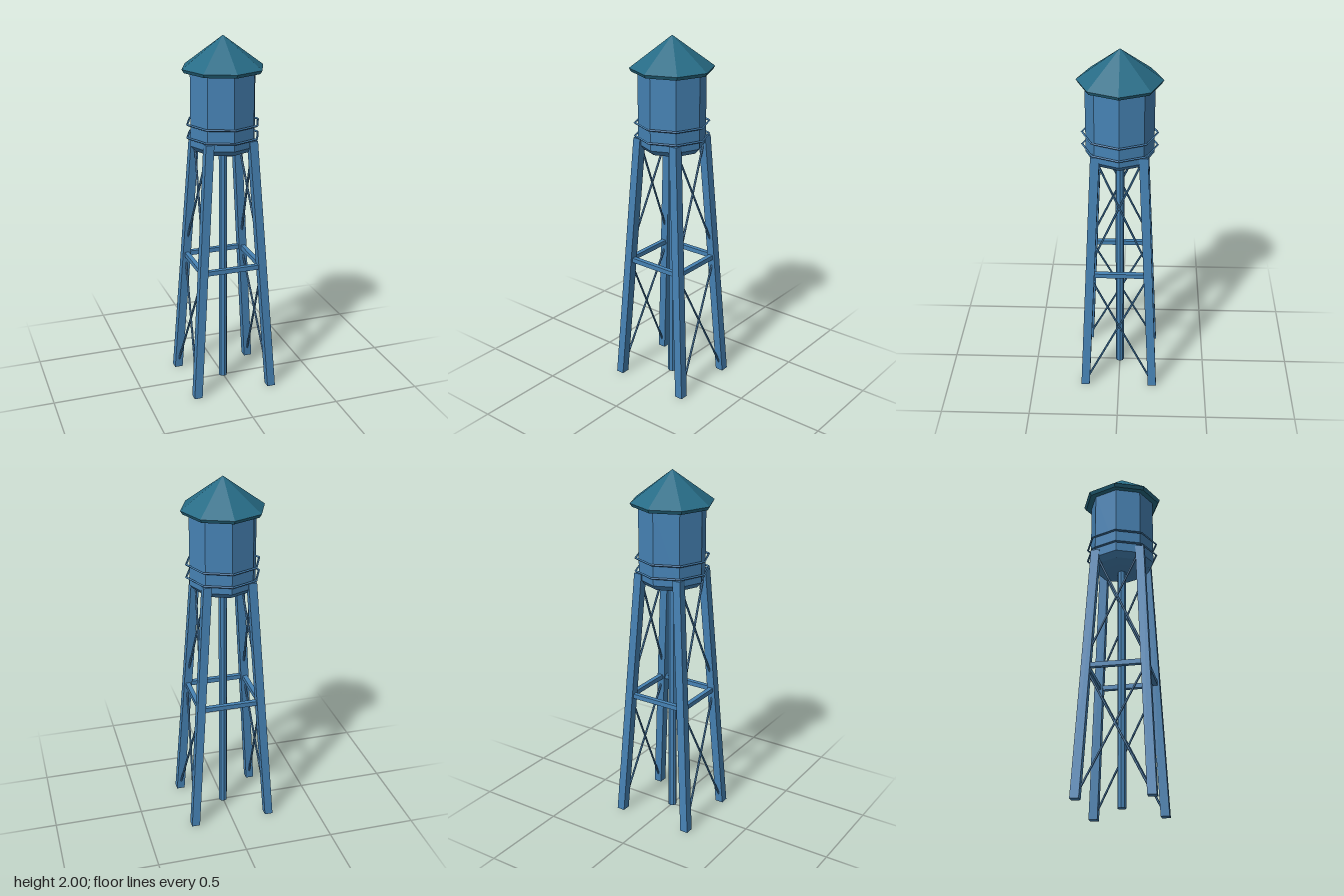
import * as THREE from 'three';

const SIDES = 8;
const LEG_TOP = 1.453;

// Centre line of the +x +z leg at height y, mirrored by sx and sz
function legPoint(y, sx, sz) {
  const t = y / LEG_TOP;
  return new THREE.Vector3(sx * (0.22 - 0.098 * t), y, sz * (0.195 - 0.068 * t));
}

export function createModel() {
  const model = new THREE.Group();
  model.name = 'waterTower';

  const steel = new THREE.MeshStandardMaterial({ color: 0x4682b4, flatShading: true });
  steel.name = 'steel blue';
  const teal = new THREE.MeshStandardMaterial({ color: 0x276c86, flatShading: true });
  teal.name = 'roof teal';

  function add(name, geometry, material) {
    const mesh = new THREE.Mesh(geometry, material);
    mesh.name = name;
    model.add(mesh);
    return mesh;
  }

  // Eight-sided solid of revolution with a corner facing the front
  function lathe(name, profile, material) {
    const points = profile.map(([r, y]) => new THREE.Vector2(r, y));
    return add(name, new THREE.LatheGeometry(points, SIDES), material);
  }

  // Thin round rod between two points
  function rod(name, a, b, radius) {
    const mesh = add(name, new THREE.CylinderGeometry(radius, radius, a.distanceTo(b), 6), steel);
    mesh.position.copy(a).add(b).multiplyScalar(0.5);
    mesh.quaternion.setFromUnitVectors(new THREE.Vector3(0, 1, 0), b.clone().sub(a).normalize());
  }

  // Tank with shallow rounded bottom
  lathe('tank', [[0, 1.367], [0.1, 1.37], [0.155, 1.386], [0.183, 1.416], [0.183, 1.825]], steel);

  // Pointed roof with a narrow eave
  lathe('roof', [[0, 1.813], [0.216, 1.813], [0.227, 1.832], [0, 2]], teal);

  // Rings around the tank
  for (const y of [1.463, 1.535]) {
    const ring = add('tankRing', new THREE.TorusGeometry(0.201, 0.006, 4, SIDES), steel);
    ring.rotation.x = Math.PI / 2;
    ring.position.y = y;
  }

  // Central riser pipe
  const riser = add('riserPipe', new THREE.CylinderGeometry(0.024, 0.024, 1.38, SIDES), steel);
  riser.position.y = 0.69;

  // Four leaning legs: boxes sheared along the leg line
  for (const sx of [-1, 1]) {
    for (const sz of [-1, 1]) {
      const geometry = new THREE.BoxGeometry(0.046, LEG_TOP, 0.048);
      geometry.translate(0, LEG_TOP / 2, 0);
      const pos = geometry.attributes.position;
      for (let i = 0; i < pos.count; i++) {
        const c = legPoint(pos.getY(i), sx, sz);
        pos.setX(i, pos.getX(i) + c.x);
        pos.setZ(i, pos.getZ(i) + c.z);
      }
      geometry.computeVertexNormals();
      add('leg', geometry, steel);
    }
  }

  // Horizontal beams joining the legs
  const mid = legPoint(0.735, 1, 1);
  for (const s of [-1, 1]) {
    add('crossBeam', new THREE.BoxGeometry(2 * mid.x, 0.026, 0.026), steel).position.set(0, mid.y, s * mid.z);
    add('sideBeam', new THREE.BoxGeometry(0.026, 0.026, 2 * mid.z), steel).position.set(s * mid.x, mid.y, 0);
  }

  // Crossed rods on the left and right sides
  for (const sx of [-1, 1]) {
    for (const [low, high] of [[0.01, 0.72], [0.8, 1.44]]) {
      for (const sz of [-1, 1]) {
        rod('crossRod', legPoint(low, sx, sz), legPoint(high, sx, -sz), 0.006);
      }
    }
  }

  return model;
}
